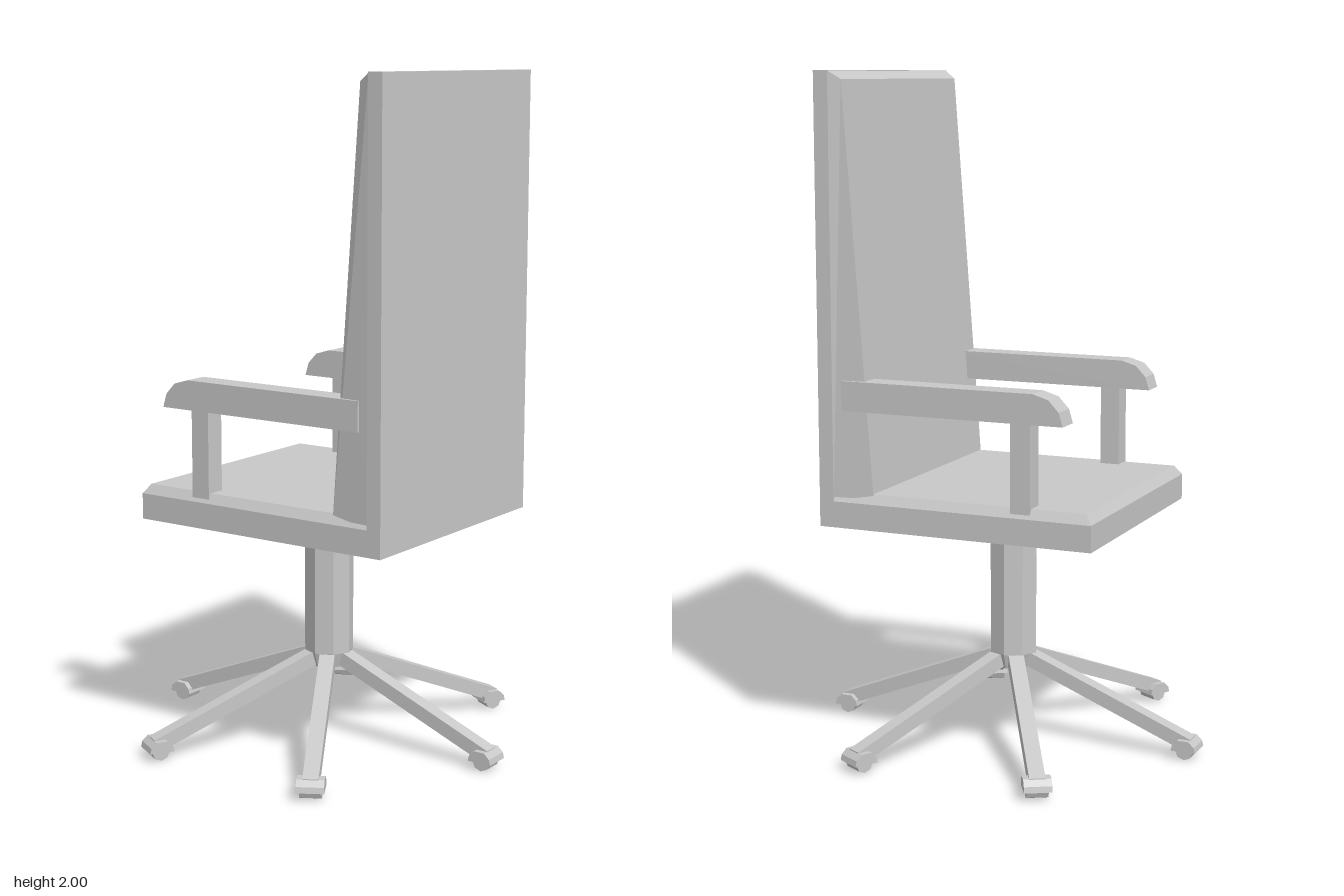
import * as THREE from 'three';

const grey = new THREE.MeshStandardMaterial({ color: 0xc8c8c8 });
grey.name = 'light grey';

function add(parent, name, geometry) {
  const flat = geometry.index ? geometry.toNonIndexed() : geometry;
  flat.computeVertexNormals();
  const mesh = new THREE.Mesh(flat, grey);
  mesh.name = name;
  parent.add(mesh);
  return mesh;
}

// Box given by its limits
function box(x0, x1, y0, y1, z0, z1) {
  return new THREE.BoxGeometry(x1 - x0, y1 - y0, z1 - z0)
    .translate((x0 + x1) / 2, (y0 + y1) / 2, (z0 + z1) / 2);
}

// Box whose corners are moved by a rule(right, top, front) -> [x, y, z]
function shapedBox(rule) {
  const geo = new THREE.BoxGeometry(1, 1, 1);
  const p = geo.attributes.position;
  for (let i = 0; i < p.count; i++) {
    p.setXYZ(i, ...rule(p.getX(i) > 0, p.getY(i) > 0, p.getZ(i) > 0));
  }
  return geo;
}

// Side profile in x/y, extruded between two z values
function slab(points, z0, z1) {
  const shape = new THREE.Shape(points.map(([x, y]) => new THREE.Vector2(x, y)));
  return new THREE.ExtrudeGeometry(shape, { depth: z1 - z0, bevelEnabled: false })
    .translate(0, 0, z0);
}

function octagon(rTop, rBottom, y0, y1) {
  return new THREE.CylinderGeometry(rTop, rBottom, y1 - y0, 8).translate(0, (y0 + y1) / 2, 0);
}

export function createModel() {
  const chair = new THREE.Group();
  chair.name = 'swivelChair';

  // Seat with a bevelled upper edge
  add(chair, 'seatBase', box(-0.4, 0.4, 0.69, 0.767, -0.39, 0.39));
  add(chair, 'seatCushion', shapedBox((r, t, f) => [
    r ? 0.4 : t ? -0.38 : -0.4,
    t ? 0.795 : 0.767,
    (f ? 1 : -1) * (t ? 0.372 : 0.39),
  ]));

  // Tall back: flat panel and a leaning cushion that narrows to its face
  add(chair, 'backPanel', box(0.4, 0.445, 0.69, 2, -0.39, 0.39));
  add(chair, 'backCushion', shapedBox((r, t, f) => [
    r ? 0.4 : t ? 0.365 : 0.277,
    t ? (r ? 1.998 : 1.975) : 0.78,
    (f ? 1 : -1) * (r ? 0.388 : 0.375),
  ]));

  // Armrests with rounded tips, each on one post
  const armProfile = [
    [-0.315, 1.035], [0.37, 1.035], [0.37, 1.122], [-0.225, 1.122],
    [-0.272, 1.108], [-0.303, 1.075],
  ];
  for (const [side, s] of [['left', 1], ['right', -1]]) {
    const arm = new THREE.Group();
    arm.name = side + 'Armrest';
    const span = (a, b) => (s > 0 ? [a, b] : [-b, -a]);
    add(arm, 'armPad', slab(armProfile, ...span(0.314, 0.39)));
    add(arm, 'armPost', box(-0.215, -0.155, 0.77, 1.04, ...span(0.322, 0.383)));
    chair.add(arm);
  }

  // Central column
  add(chair, 'seatMount', octagon(0.125, 0.125, 0.63, 0.69));
  add(chair, 'column', octagon(0.074, 0.074, 0.265, 0.63));
  add(chair, 'columnFoot', octagon(0.074, 0.06, 0.22, 0.265));

  // Six legs, each with a hooded caster
  const legProfile = [
    [0.03, 0.232], [0.06, 0.222], [0.53, 0.035], [0.575, 0.035],
    [0.575, 0.062], [0.07, 0.264], [0.03, 0.264],
  ];
  const hoodProfile = [
    [0.52, 0.027], [0.595, 0.027], [0.591, 0.044], [0.574, 0.06],
    [0.54, 0.06], [0.524, 0.044],
  ];
  for (let i = 0; i < 6; i++) {
    const leg = new THREE.Group();
    leg.name = 'leg' + (i + 1);
    add(leg, 'legBar', slab(legProfile, -0.023, 0.023));
    add(leg, 'casterHood', slab(hoodProfile, -0.04, 0.04));
    add(leg, 'casterWheel', new THREE.CylinderGeometry(0.027, 0.027, 0.062, 8)
      .rotateX(Math.PI / 2).translate(0.558, 0.027, 0));
    leg.rotation.y = i * Math.PI / 3;
    chair.add(leg);
  }

  // Centre the footprint
  chair.updateMatrixWorld(true);
  return chair;
}
